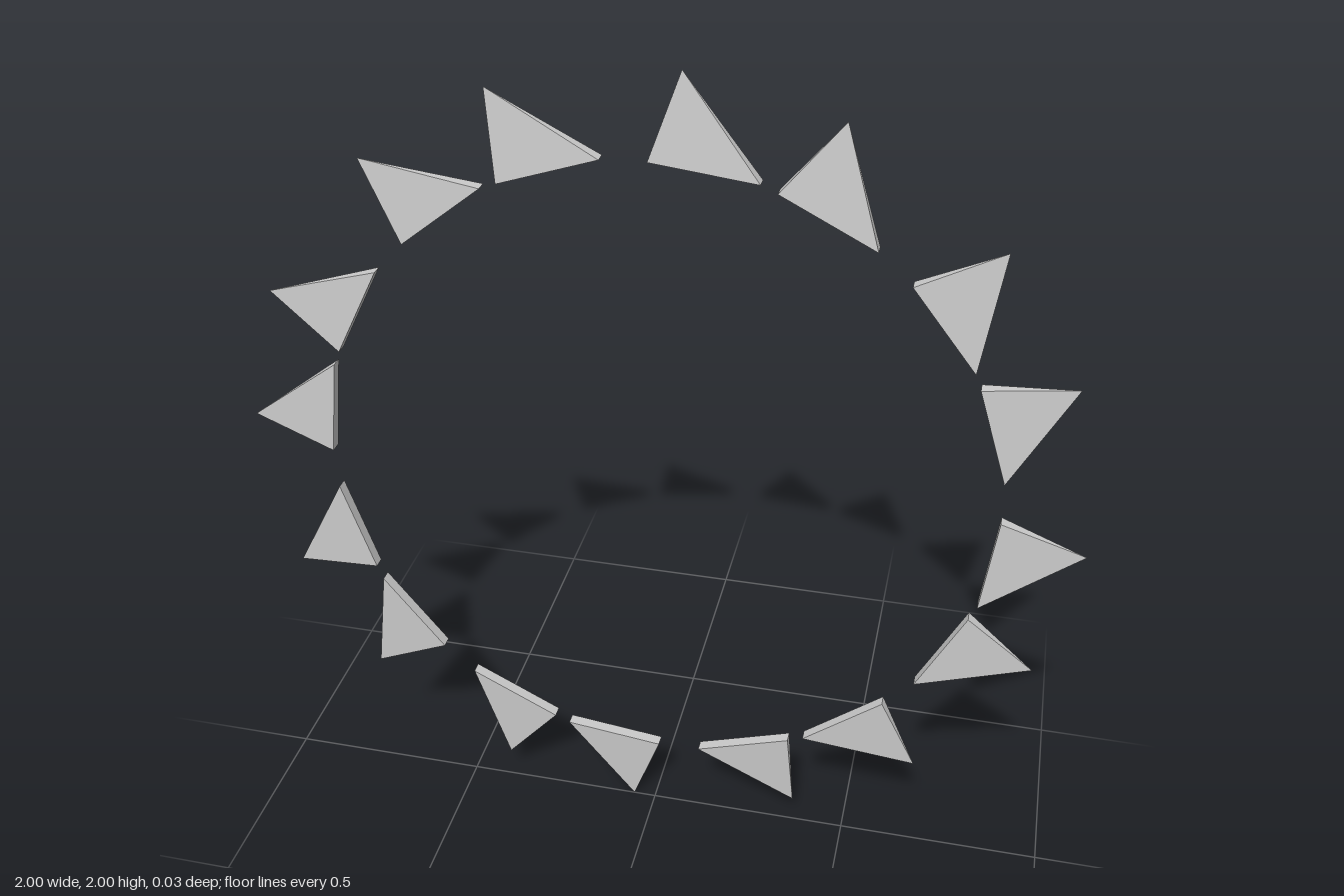
import * as THREE from 'three';

// One flat spike: a thin rectangular base on the ring, tapering to a skewed point.
function spikeGeometry() {
  const t = 0.015; // half thickness at the base
  const corners = [
    -0.014, 0.801, t, // left front
    0.227, 0.773, t, // right front
    0.227, 0.773, -t, // right back
    -0.014, 0.801, -t, // left back
    0.056, 1.0, 0, // tip
  ];
  const geometry = new THREE.BufferGeometry();
  geometry.setAttribute('position', new THREE.Float32BufferAttribute(corners, 3));
  geometry.setIndex([0, 1, 4, 1, 2, 4, 2, 3, 4, 3, 0, 4, 0, 3, 2, 0, 2, 1]);
  const flat = geometry.toNonIndexed();
  flat.computeVertexNormals();
  return flat;
}

export function createModel() {
  const model = new THREE.Group();
  model.name = 'spikeRing';
  const material = new THREE.MeshStandardMaterial({ color: 0xcccccc, flatShading: true });
  const geometry = spikeGeometry();

  // Eight pairs of spikes around the ring, the two of a pair set slightly closer together.
  const pairs = 8;
  const pairGap = THREE.MathUtils.degToRad(20.2);
  for (let i = 0; i < pairs; i++) {
    const pair = new THREE.Group();
    pair.name = `spikePair${i + 1}`;
    pair.rotation.z = (-i * 2 * Math.PI) / pairs;
    ['firstSpike', 'secondSpike'].forEach((name, k) => {
      const spike = new THREE.Mesh(geometry, material);
      spike.name = name;
      spike.rotation.z = -k * pairGap;
      pair.add(spike);
    });
    model.add(pair);
  }

  model.position.y = 1;
  return model;
}
